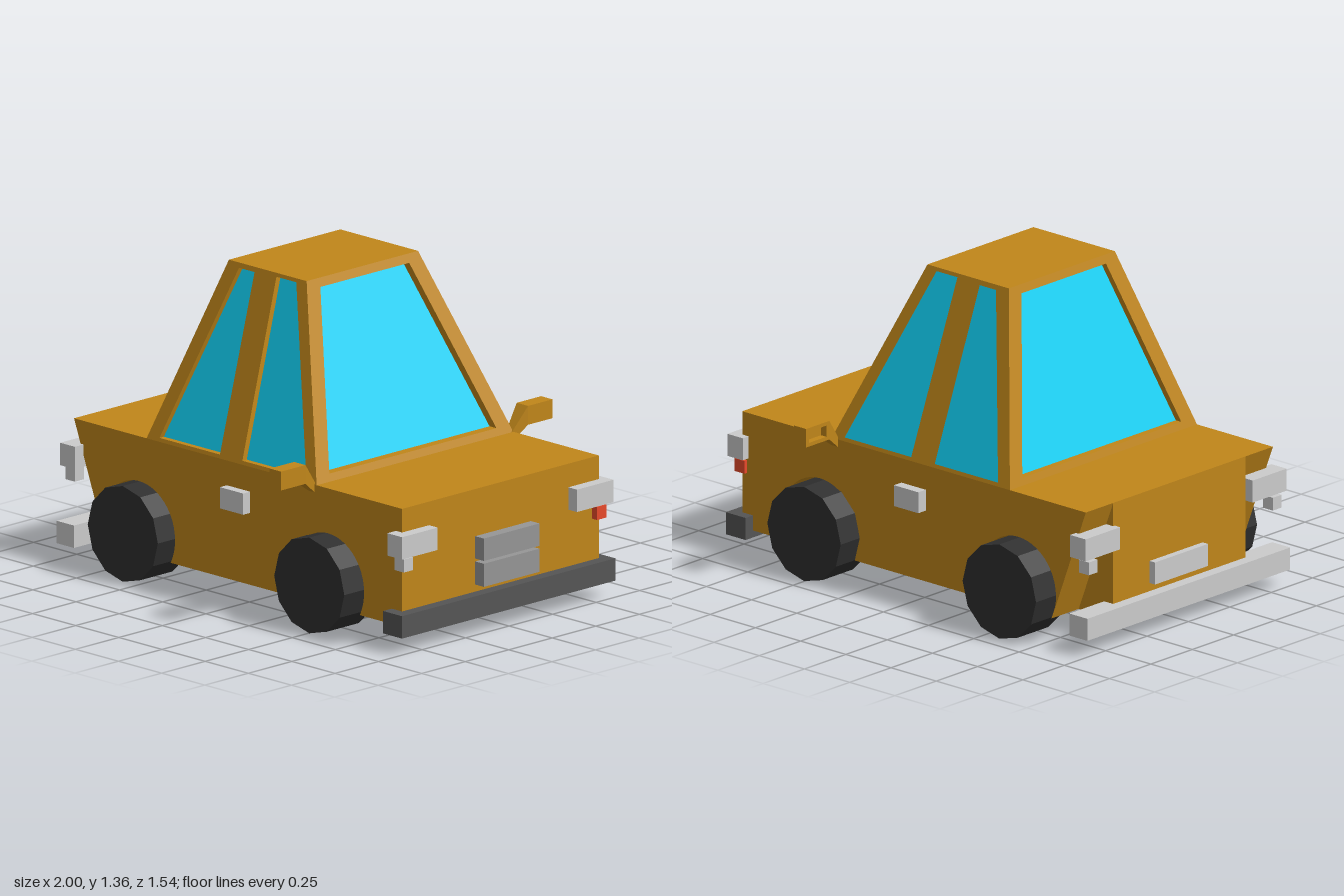
import * as THREE from 'three';

const mat = (color) => new THREE.MeshStandardMaterial({ color, flatShading: true });

export function createModel() {
  const car = new THREE.Group();
  car.name = 'car';
  const paint = mat(0xc0861a), glass = mat(0x12d4f8), grey = mat(0xcccccc);
  const plateGrey = mat(0x969696), dark = mat(0x555555), rubber = mat(0x303030), red = mat(0xe84a2a);

  const add = (name, geo, material, parent = car) => {
    const mesh = new THREE.Mesh(geo, material);
    mesh.name = name;
    parent.add(mesh);
    return mesh;
  };
  // box given by its limits on each axis
  const block = (name, m, x0, x1, y0, y1, z0, z1) => {
    const mesh = add(name, new THREE.BoxGeometry(x1 - x0, y1 - y0, z1 - z0), m);
    mesh.position.set((x0 + x1) / 2, (y0 + y1) / 2, (z0 + z1) / 2);
    return mesh;
  };
  // move every vertex of a geometry by a rule
  const remap = (geo, rule) => {
    const p = geo.attributes.position;
    for (let i = 0; i < p.count; i++) p.setXYZ(i, ...rule(p.getX(i), p.getY(i), p.getZ(i)));
    geo.computeVertexNormals();
    return geo;
  };
  const poly = (pts) => pts.map(([x, y]) => new THREE.Vector2(x, y));

  // Lower body: middle block and two side slabs with wheel arches
  const archR = 0.21, wellZ = 0.4, halfW = 0.565;
  const a = Math.asin(0.1 / archR);
  const side = new THREE.Shape();
  side.moveTo(-0.95, 0.1);
  for (const cx of [-0.575, 0.52]) side.absarc(cx, 0.2, archR, Math.PI + a, -a, true);
  side.lineTo(0.95, 0.1);
  side.lineTo(0.95, 0.6);
  side.lineTo(-0.95, 0.6);
  block('bodyMiddle', paint, -0.95, 0.95, 0.1, 0.6, -wellZ, wellZ);
  for (const z of [wellZ, -halfW]) {
    const geo = new THREE.ExtrudeGeometry(side, { depth: halfW - wellZ, bevelEnabled: false, curveSegments: 16 });
    add('bodySide', geo, paint).position.z = z;
  }

  // Cabin: tapering frame panels around a solid glass core
  const y0 = 0.6, y1 = 1.355;
  const taper = (b, t) => (y) => b + (t - b) * (y - y0) / (y1 - y0);
  const xF = taper(0.455, 0.15), xR = taper(-0.53, -0.3), zS = taper(halfW, 0.32);
  const panel = (name, outline, holes, rule) => {
    const shape = new THREE.Shape(poly(outline));
    for (const h of holes) shape.holes.push(new THREE.Path(poly(h)));
    add(name, remap(new THREE.ExtrudeGeometry(shape, { depth: 1, bevelEnabled: false }), rule), paint);
  };
  const sideOutline = [[-0.53, y0], [0.455, y0], [0.15, y1], [-0.3, y1]];
  const sideHoles = [
    [[-0.46, 0.615], [-0.11, 0.615], [-0.145, 1.335], [-0.235, 1.335]],
    [[0.02, 0.615], [0.39, 0.615], [0.095, 1.34], [-0.02, 1.34]],
  ];
  const endOutline = [[-halfW, y0], [halfW, y0], [0.32, y1], [-0.32, y1]];
  const endHole = [[-0.48, 0.63], [0.48, 0.63], [0.255, 1.32], [-0.255, 1.32]];
  const flip = (pts) => pts.map(([x, y]) => [-x, y]);
  panel('leftWindowFrame', sideOutline, sideHoles, (s, y, d) => [s, y, zS(y) - (1 - d) * 0.03]);
  panel('rightWindowFrame', flip(sideOutline), sideHoles.map(flip), (s, y, d) => [-s, y, -zS(y) + (1 - d) * 0.03]);
  panel('windshieldFrame', endOutline, [endHole], (s, y, d) => [xF(y) - (1 - d) * 0.045, y, -s]);
  panel('rearWindowFrame', endOutline, [endHole], (s, y, d) => [xR(y) + (1 - d) * 0.035, y, s]);

  // frustum that follows the cabin taper, with an inset on each side
  const core = (name, m, lo, hi, inF, inR, inS) =>
    add(name, remap(new THREE.BoxGeometry(1, 1, 1), (x, v, z) => {
      const y = v > 0 ? hi : lo;
      return [x > 0 ? xF(y) - inF : xR(y) + inR, y, Math.sign(z) * (zS(y) - inS)];
    }), m);
  core('windowGlass', glass, 0.59, 1.345, 0.04, 0.03, 0.025);
  core('roof', paint, 1.343, y1, 0, 0, 0);

  // Wheels: twelve-sided, set into the arches
  for (const x of [-0.577, 0.503]) {
    for (const z of [0.5625, -0.5875]) {
      const wheel = add('wheel', new THREE.CylinderGeometry(0.203, 0.203, 0.185, 12).rotateX(Math.PI / 2), rubber);
      wheel.position.set(x, 0.203, z);
    }
  }

  // Bumpers and plates
  block('frontBumper', dark, 0.89, 1, 0.07, 0.165, -0.61, 0.615);
  block('rearBumper', grey, -1, -0.9, 0.07, 0.165, -0.61, 0.615);
  block('lowerGrille', plateGrey, 0.94, 1, 0.195, 0.293, -0.175, 0.145);
  block('upperGrille', plateGrey, 0.94, 1, 0.305, 0.4, -0.175, 0.145);
  block('rearPlate', grey, -0.98, -0.94, 0.2, 0.295, -0.18, 0.14);

  // Lamps, indicators and door handles
  for (const [z0, z1] of [[0.41, 0.615], [-0.6, -0.39]]) {
    block('headlight', grey, 0.915, 1, 0.405, 0.5, z0, z1);
    block('tailLight', grey, -0.98, -0.895, 0.405, 0.5, z0, z1);
  }
  block('leftIndicator', grey, 0.925, 0.98, 0.34, 0.395, 0.532, 0.585);
  block('rightIndicator', red, 0.925, 0.98, 0.34, 0.395, -0.58, -0.525);
  for (const z of [0.532, -0.58]) block('rearIndicator', grey, -0.98, -0.925, 0.34, 0.395, z, z + 0.053);
  block('leftDoorHandle', grey, -0.065, 0.07, 0.405, 0.495, 0.55, 0.605);
  block('rightDoorHandle', grey, -0.065, 0.07, 0.405, 0.495, -0.61, -0.55);

  // Wing mirrors: tapering arm and a housing hollow towards the rear
  for (const s of [1, -1]) {
    const mirror = new THREE.Group();
    mirror.name = s > 0 ? 'leftMirror' : 'rightMirror';
    mirror.position.x = s > 0 ? 0.425 : 0.44;
    car.add(mirror);
    const arm = remap(new THREE.BoxGeometry(1, 1, 1), (x, y, z) => {
      const outer = z * s > 0;
      const h = outer ? (y > 0 ? 0.7 : 0.62) : (y > 0 ? 0.6 : 0.56);
      return [Math.sign(x) * (outer ? 0.033 : 0.016), h, s * (outer ? 0.632 : 0.555)];
    });
    add('mirrorArm', arm, paint, mirror);
    const rim = new THREE.Shape(poly([[-0.07, -0.04], [0.07, -0.04], [0.07, 0.04], [-0.07, 0.04]]));
    rim.holes.push(new THREE.Path(poly([[-0.052, -0.024], [0.052, -0.024], [0.052, 0.024], [-0.052, 0.024]])));
    const rimGeo = new THREE.ExtrudeGeometry(rim, { depth: 0.03, bevelEnabled: false }).rotateY(-Math.PI / 2);
    add('mirrorRim', rimGeo, paint, mirror).position.set(-0.003, 0.66, s * 0.702);
    add('mirrorShell', new THREE.BoxGeometry(0.036, 0.08, 0.14), paint, mirror).position.set(0.015, 0.66, s * 0.702);
  }
  return car;
}
